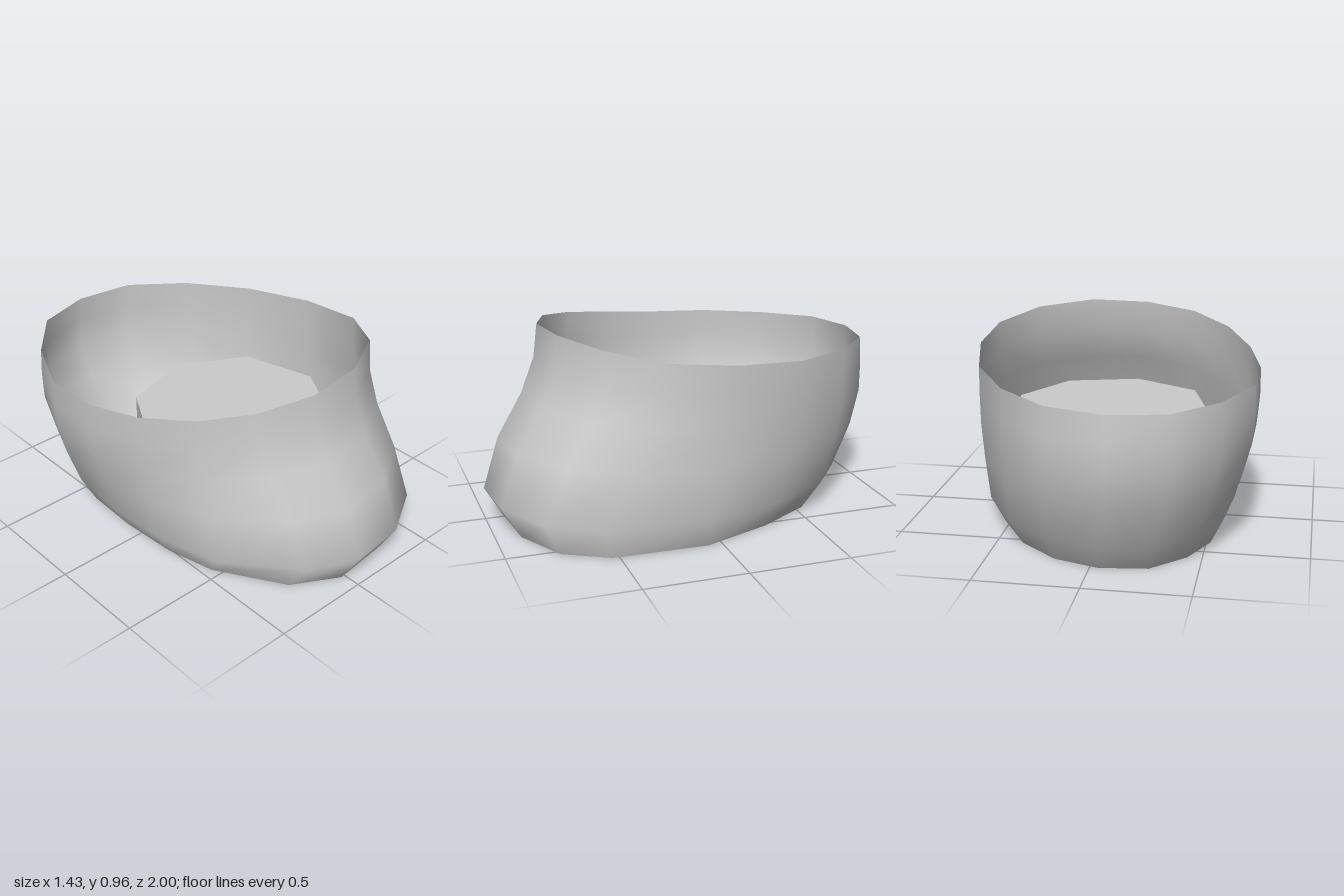
import * as THREE from 'three';

// Outlines seen from above as [x, z] (the rim adds its height), starting at the front and going towards +x
const BASE = [[-.02, .91], [.28, .88], [.53, .75], [.65, .53], [.66, .07], [.53, -.27], [.37, -.54], [.18, -.7],
  [-.04, -.77], [-.27, -.74], [-.43, -.58], [-.52, -.38], [-.53, -.1], [-.51, .2], [-.45, .45], [-.25, .78]];
const BELLY = [[-.01, 1], [.29, .97], [.55, .82], [.68, .57], [.71, .08], [.59, -.31], [.41, -.62], [.19, -.79],
  [-.05, -.86], [-.29, -.83], [-.47, -.65], [-.58, -.42], [-.61, -.1], [-.59, .22], [-.51, .55], [-.25, .88]];
const RIM = [[-.05, .7, .955], [.25, .67, .965], [.52, .52, .945], [.68, .27, .905], [.69, -.06, .87],
  [.6, -.41, .838], [.41, -.72, .82], [.17, -.93, .81], [-.11, -.99, .8], [-.38, -.92, .795],
  [-.58, -.69, .793], [-.71, -.4, .798], [-.72, -.1, .81], [-.65, .18, .845], [-.52, .43, .89], [-.32, .61, .93]];

// Rings above the belly: share of the rim height, and how far each has moved to the rim at the front and back
const RINGS = [[.43, .27, .75], [.65, .7, 1.08], [.83, .93, 1.08], [1, 1, 1]];

const material = () => new THREE.MeshStandardMaterial({ color: 0xcccccc, side: THREE.DoubleSide });

function wallGeometry() {
  const n = RIM.length;
  const positions = [];
  BASE.forEach(([x, z]) => positions.push(x, 0, z));
  BELLY.forEach(([x, z], i) => positions.push(x, .165 * RIM[i][2], z));
  for (const [t, front, back] of RINGS) {
    RIM.forEach(([x, z, y], i) => {
      const w = THREE.MathUtils.lerp(back, front, (1 + Math.cos(i / n * Math.PI * 2)) / 2);
      const [bx, bz] = BELLY[i];
      positions.push(bx + (x - bx) * w, y * t, bz + (z - bz) * w);
    });
  }
  const index = [];
  for (let r = 0; r < RINGS.length + 1; r++) {
    for (let i = 0; i < n; i++) {
      const a = r * n + i, b = r * n + (i + 1) % n;
      index.push(a, b, b + n, a, b + n, a + n);
    }
  }
  const g = new THREE.BufferGeometry();
  g.setAttribute('position', new THREE.Float32BufferAttribute(positions, 3));
  g.setIndex(index);
  g.computeVertexNormals();
  return g;
}

export function createModel() {
  const group = new THREE.Group();
  const add = (name, geometry) => {
    const mesh = new THREE.Mesh(geometry, material());
    mesh.name = name;
    group.add(mesh);
    return mesh;
  };

  // Open, leaning outer wall
  add('wall', wallGeometry());

  // Octagonal socket, closed on top and open below
  const R = .5, H = .55, CX = .04, CZ = .065, START = -.12;
  const sides = new THREE.CylinderGeometry(R, R, H, 8, 1, true, START);
  sides.translate(CX, H / 2, CZ);
  add('socketSides', sides).material.flatShading = true;
  const corners = Array.from({ length: 8 }, (_, i) => {
    const a = START + i * Math.PI / 4;
    return new THREE.Vector2(CX + R * Math.sin(a), -(CZ + R * Math.cos(a)));
  });
  const top = new THREE.ShapeGeometry(new THREE.Shape(corners));
  top.rotateX(-Math.PI / 2);
  top.translate(0, H, 0);
  add('socketTop', top);

  // Flat floor around the socket opening
  const floor = new THREE.Shape(BASE.map(([x, z]) => new THREE.Vector2(x, -z)));
  floor.holes.push(new THREE.Path(corners));
  const floorGeometry = new THREE.ShapeGeometry(floor);
  floorGeometry.rotateX(-Math.PI / 2);
  add('floor', floorGeometry);

  return group;
}
